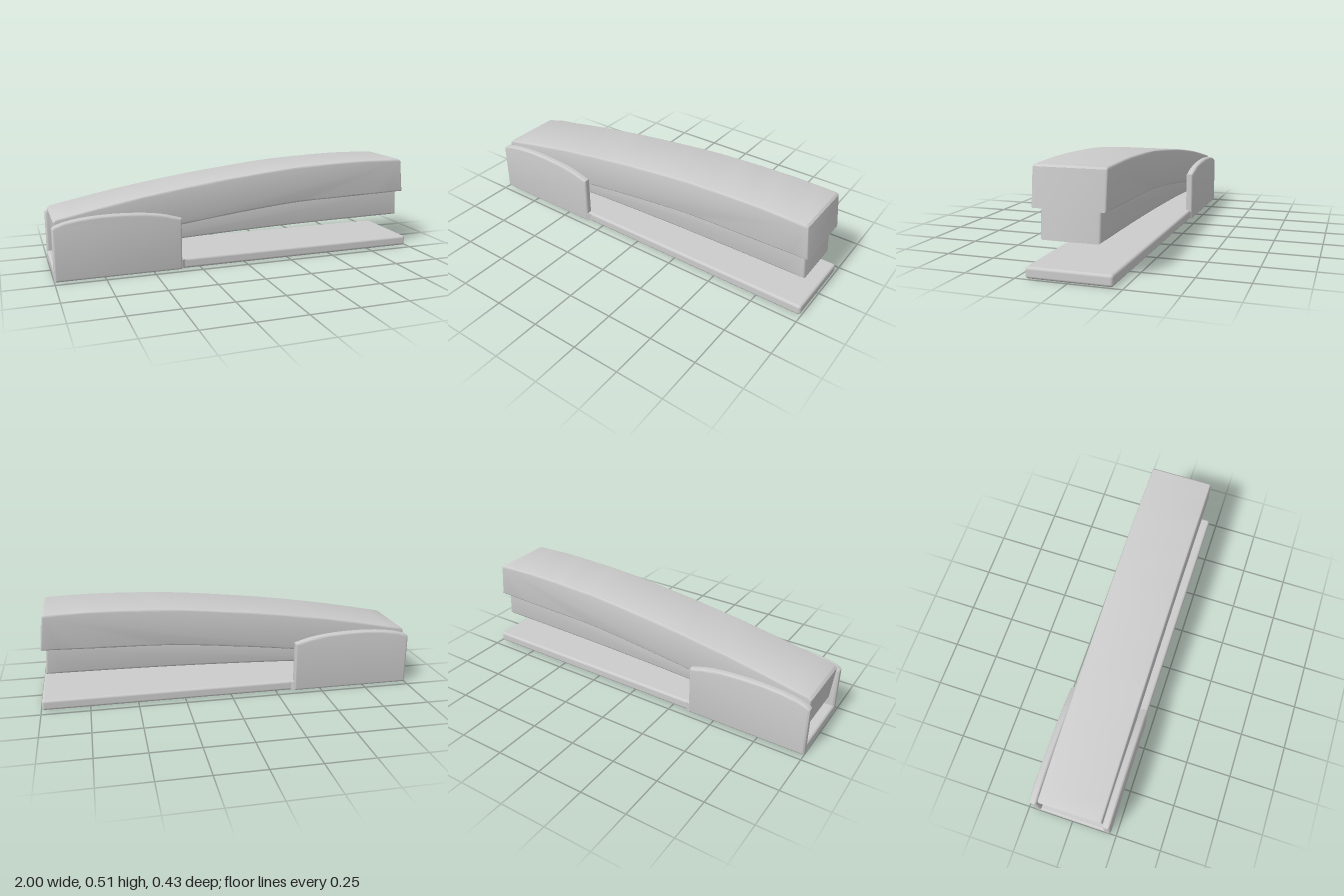
import * as THREE from 'three';
import { toCreasedNormals } from 'three/addons/utils/BufferGeometryUtils.js';
import { RoundedBoxGeometry } from 'three/addons/geometries/RoundedBoxGeometry.js';

const grey = new THREE.MeshStandardMaterial({ color: 0xcccccc });

function addMesh(parent, name, geometry) {
  const mesh = new THREE.Mesh(geometry, grey);
  mesh.name = name;
  parent.add(mesh);
  return mesh;
}

// Side profile in x/y, extruded to a given width centred on z, with rounded edges
function slab(profile, width, bevel) {
  const shape = new THREE.Shape(profile.map(([x, y]) => new THREE.Vector2(x, y)));
  const geometry = new THREE.ExtrudeGeometry(shape, {
    depth: width - 2 * bevel,
    bevelThickness: bevel,
    bevelSize: bevel,
    bevelOffset: -bevel,
    bevelSegments: 3,
  });
  geometry.translate(0, 0, bevel - width / 2);
  return toCreasedNormals(geometry, 0.6);
}

// Smooth run of points through a few control points
function curve(points, count) {
  const spline = new THREE.SplineCurve(points.map(([x, y]) => new THREE.Vector2(x, y)));
  return spline.getPoints(count).map((p) => [p.x, p.y]);
}

export function createModel() {
  const model = new THREE.Group();
  model.name = 'stapler';

  // Flat base
  const base = addMesh(model, 'basePlate', new RoundedBoxGeometry(1.995, 0.055, 0.41, 3, 0.014));
  base.position.set(-0.0025, 0.0275, 0);

  // Arched cheeks on both sides of the hinge, each with a small tapered foot
  const cheekProfile = [
    [-1, 0], [-0.35, 0],
    ...curve([[-0.35, 0.272], [-0.45, 0.3], [-0.57, 0.315], [-0.7, 0.32], [-0.83, 0.315], [-0.93, 0.3], [-0.985, 0.283]], 14),
    [-1, 0.27],
  ];
  const footShape = new THREE.Shape([[-0.37, 0.18], [-0.325, 0.18], [-0.325, 0.2], [-0.352, 0.214], [-0.37, 0.214]]
    .map(([x, z]) => new THREE.Vector2(x, z)));
  for (const side of [1, -1]) {
    const name = side > 0 ? 'front' : 'back';
    const cheek = addMesh(model, name + 'Cheek', slab(cheekProfile, 0.04, 0.012));
    cheek.position.z = side * 0.197;
    const foot = new THREE.ExtrudeGeometry(footShape, { depth: 0.044, bevelEnabled: false });
    foot.rotateX(side > 0 ? Math.PI / 2 : -Math.PI / 2);
    foot.translate(0, side > 0 ? 0.05 : 0.006, 0);
    addMesh(model, name + 'CheekFoot', foot);
  }

  // Staple magazine under the cover
  const magazineProfile = [
    ...curve([[-0.95, 0.095], [-0.65, 0.123], [-0.35, 0.143], [0.1, 0.16], [0.5, 0.169], [0.965, 0.174]], 16),
    [0.953, 0.33], [0.3, 0.33], [-0.4, 0.26], [-0.955, 0.18],
  ];
  addMesh(model, 'magazine', slab(magazineProfile, 0.28, 0.012));

  // Curved top cover
  const coverProfile = [
    ...curve([[-0.97, 0.115], [-0.65, 0.178], [-0.35, 0.226], [0, 0.268], [0.32, 0.298], [0.65, 0.307], [0.98, 0.316]], 18),
    [0.961, 0.494], [0.95, 0.503],
    ...curve([[0.85, 0.506], [0.65, 0.508], [0.3, 0.494], [0, 0.465], [-0.3, 0.428], [-0.65, 0.372], [-0.975, 0.308]], 18),
    [-0.988, 0.295],
  ];
  addMesh(model, 'topCover', slab(coverProfile, 0.345, 0.01));

  return model;
}
